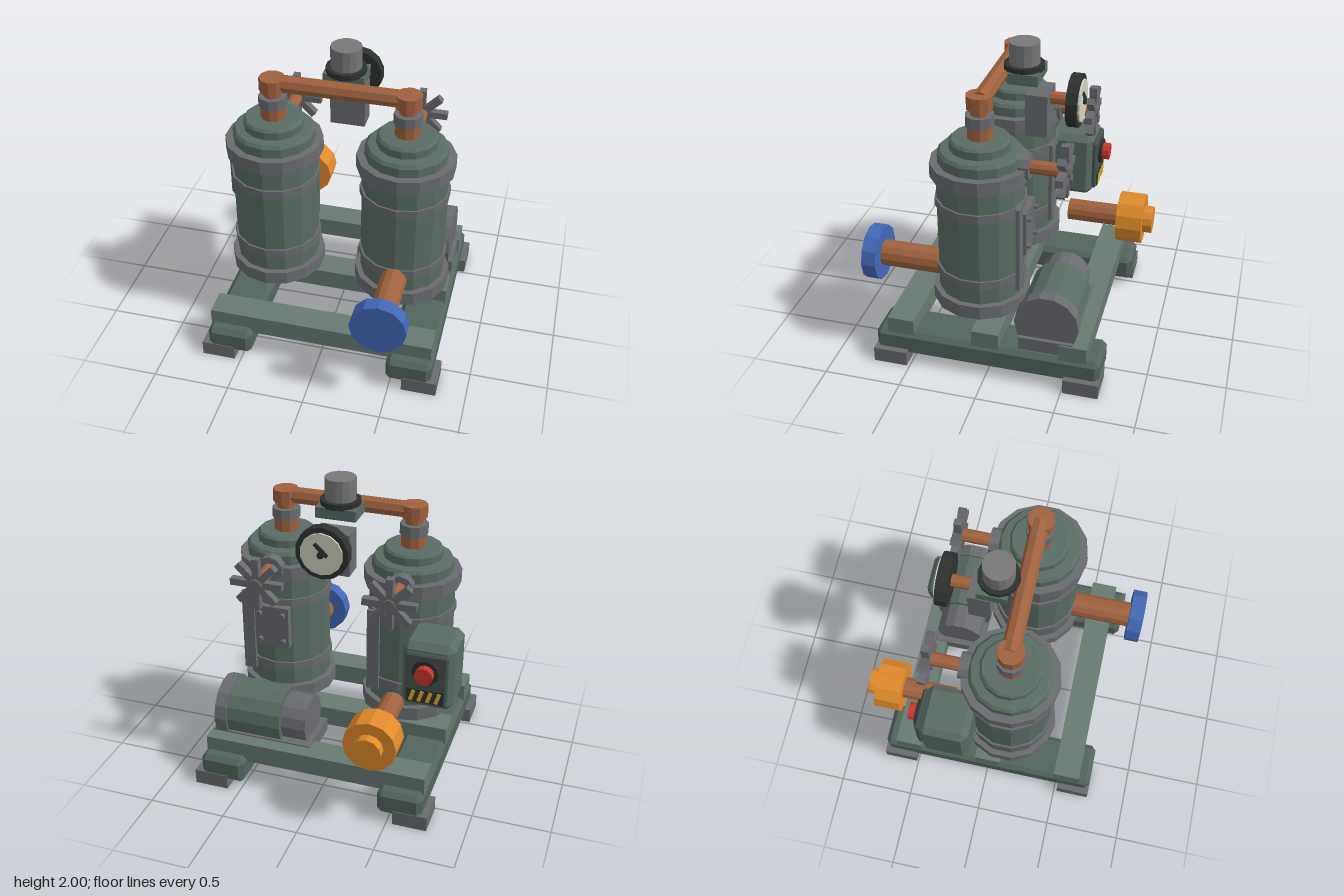
import * as THREE from 'three';
import { ConvexGeometry } from 'three/addons/geometries/ConvexGeometry.js';

const COLORS = {
  green: 0x5a6d65, frame: 0x53655e, beam: 0x677a72, grey: 0x6a6c70, steel: 0x787878,
  copper: 0xa0623f, blue: 0x4269b8, orange: 0xe08a2c, red: 0xcc3630,
  black: 0x2e3231, cream: 0xd2d1c2, yellow: 0xe0b428, panel: 0x46534e,
};
const materials = {};
for (const key in COLORS) {
  materials[key] = new THREE.MeshStandardMaterial({ color: COLORS[key], flatShading: true });
}

function add(parent, name, geometry, color, x = 0, y = 0, z = 0) {
  const mesh = new THREE.Mesh(geometry, materials[color]);
  mesh.name = name;
  mesh.position.set(x, y, z);
  parent.add(mesh);
  return mesh;
}

// Box given by its [min, max] range on each axis, optionally with chamfered edges
function box(parent, name, color, [x0, x1], [y0, y1], [z0, z1], chamfer = 0) {
  const half = [(x1 - x0) / 2, (y1 - y0) / 2, (z1 - z0) / 2];
  let geometry;
  if (chamfer > 0) {
    const points = [];
    for (const sx of [-1, 1]) for (const sy of [-1, 1]) for (const sz of [-1, 1]) {
      for (let face = 0; face < 3; face++) {
        const c = half.map((h, i) => (i === face ? h : h - chamfer));
        points.push(new THREE.Vector3(sx * c[0], sy * c[1], sz * c[2]));
      }
    }
    geometry = new ConvexGeometry(points);
  } else {
    geometry = new THREE.BoxGeometry(2 * half[0], 2 * half[1], 2 * half[2]);
  }
  return add(parent, name, geometry, color, (x0 + x1) / 2, (y0 + y1) / 2, (z0 + z1) / 2);
}

// Cylinder along an axis from a to b; u, v are the other two coordinates in x, y, z order
function rod(parent, name, color, axis, r, a, b, u, v, sides = 12) {
  const geometry = new THREE.CylinderGeometry(r, r, b - a, sides);
  const mid = (a + b) / 2;
  if (axis === 'x') {
    geometry.rotateZ(-Math.PI / 2);
    return add(parent, name, geometry, color, mid, u, v);
  }
  if (axis === 'z') {
    geometry.rotateX(Math.PI / 2);
    return add(parent, name, geometry, color, u, v, mid);
  }
  return add(parent, name, geometry, color, u, mid, v);
}

function group(parent, name, x = 0, y = 0, z = 0) {
  const g = new THREE.Group();
  g.name = name;
  g.position.set(x, y, z);
  parent.add(g);
  return g;
}

function buildFrame(root) {
  const frame = group(root, 'baseFrame');
  for (const [x0, x1, f0, f1] of [[-0.72, -0.43, -0.76, -0.54], [0.475, 0.77, 0.585, 0.81]]) {
    box(frame, 'sideRail', 'frame', [x0, x1], [0.055, 0.225], [-0.73, 0.735], 0.03);
    box(frame, 'frontFoot', 'grey', [f0, f1], [0, 0.1], [0.52, 0.74]);
    box(frame, 'backFoot', 'grey', [f0, f1], [0, 0.1], [-0.735, -0.51]);
  }
  for (const z of [0.567, 0.007, -0.557]) {
    box(frame, 'crossBeam', 'beam', [-0.715, 0.755], [0.185, 0.32], [z - 0.088, z + 0.088]);
  }
}

// Hand wheel made of eight radial bars around a hub
function buildValve(tank) {
  const valve = group(tank, 'valve', 0, 1.38, 0);
  rod(valve, 'valveBase', 'grey', 'z', 0.085, -0.315, -0.25, 0, 0, 10);
  rod(valve, 'valveStem', 'copper', 'z', 0.043, -0.55, -0.3, 0, 0, 10);
  rod(valve, 'wheelHub', 'grey', 'z', 0.04, -0.56, -0.49, 0, 0, 8);
  for (let i = 0; i < 4; i++) {
    const bar = box(valve, 'wheelSpoke', 'grey', [-0.17, 0.17], [-0.022, 0.022], [-0.547, -0.497]);
    bar.rotation.z = (i * Math.PI) / 4;
  }
}

function buildTank(root, name, x) {
  const tank = group(root, name, x, 0, 0.105);
  const ring = (part, color, r, y0, y1) => rod(tank, part, color, 'y', r, y0, y1, 0, 0, 14);
  ring('body', 'green', 0.275, 0.43, 1.38);
  ring('bottomFlange', 'grey', 0.312, 0.42, 0.51);
  ring('lowerBand', 'grey', 0.288, 0.625, 0.68);
  ring('upperBand', 'grey', 0.288, 1.1, 1.155);
  ring('topFlange', 'grey', 0.312, 1.3, 1.39);
  const profile = [[0.262, 1.39], [0.262, 1.45], [0.245, 1.47], [0.19, 1.475], [0.19, 1.525], [0.175, 1.54], [0, 1.54]];
  add(tank, 'lid', new THREE.LatheGeometry(profile.map((p) => new THREE.Vector2(...p)), 14), 'green');

  // Outlet riser on the lid
  rod(tank, 'riser', 'copper', 'y', 0.08, 1.53, 1.62, 0, 0, 10);
  rod(tank, 'collar', 'grey', 'y', 0.09, 1.62, 1.69, 0, 0, 10);
  rod(tank, 'riserNeck', 'copper', 'y', 0.057, 1.69, 1.74, 0, 0, 10);
  rod(tank, 'elbow', 'copper', 'y', 0.083, 1.73, 1.815, 0, 0, 10);

  box(tank, 'levelStrip', 'grey', [0.13, 0.21], [0.62, 1.19], [-0.3, -0.275]);
  buildValve(tank);
  return tank;
}

function buildMotor(root) {
  const motor = group(root, 'pumpMotor');
  rod(motor, 'motorBody', 'green', 'x', 0.19, 0.275, 0.64, 0.43, -0.38, 14);
  rod(motor, 'motorCap', 'grey', 'x', 0.205, 0.64, 0.72, 0.43, -0.38, 14);
  rod(motor, 'pumpHead', 'grey', 'x', 0.157, 0.11, 0.275, 0.43, -0.38, 14);
  box(motor, 'motorBase', 'grey', [0.07, 0.745], [0.24, 0.328], [-0.555, -0.21]);
}

function buildGauge(root) {
  const gauge = group(root, 'gauge');
  box(gauge, 'manifold', 'grey', [-0.09, 0.135], [1.42, 1.695], [-0.23, -0.09]);
  box(gauge, 'sensorMount', 'green', [-0.11, 0.15], [1.76, 1.83], [-0.17, 0.015]);
  rod(gauge, 'sensorRing', 'black', 'y', 0.128, 1.825, 1.862, 0.022, -0.058, 14);
  rod(gauge, 'sensor', 'steel', 'y', 0.098, 1.862, 2, 0.022, -0.058, 14);
  rod(gauge, 'gaugeStem', 'copper', 'z', 0.04, -0.36, -0.22, 0.02, 1.645, 10);
  rod(gauge, 'gaugeCase', 'black', 'z', 0.168, -0.42, -0.35, 0.02, 1.645, 14);
  rod(gauge, 'gaugeFace', 'cream', 'z', 0.135, -0.432, -0.41, 0.02, 1.645, 14);
  rod(gauge, 'needleHub', 'black', 'z', 0.022, -0.45, -0.43, 0.02, 1.645, 8);
  const needle = box(gauge, 'needle', 'black', [-0.035, 0.075], [1.663, 1.687], [-0.442, -0.43]);
  needle.rotation.z = 0.75;
}

function buildControlBox(root) {
  const control = group(root, 'controlBox');
  box(control, 'cabinet', 'green', [-0.81, -0.48], [0.68, 1.13], [-0.41, -0.09], 0.04);
  box(control, 'controlPanel', 'panel', [-0.78, -0.51], [0.73, 1.08], [-0.437, -0.4], 0.012);
  rod(control, 'buttonBase', 'black', 'z', 0.085, -0.458, -0.43, -0.645, 0.965, 12);
  rod(control, 'stopButton', 'red', 'z', 0.058, -0.505, -0.45, -0.645, 0.965, 12);
  box(control, 'warningPlate', 'black', [-0.76, -0.53], [0.745, 0.835], [-0.444, -0.43]);
  for (let i = 0; i < 4; i++) {
    const x = -0.726 + i * 0.054;
    const bar = box(control, 'warningBar', 'yellow', [x - 0.012, x + 0.012], [0.752, 0.828], [-0.449, -0.44]);
    bar.rotation.z = 0.3;
  }
}

export function createModel() {
  const root = new THREE.Group();
  root.name = 'twinTankFilterUnit';
  buildFrame(root);
  buildTank(root, 'rightTank', -0.405);
  const leftTank = buildTank(root, 'leftTank', 0.447);

  // Bolted inspection hatch on the back of the left tank
  const hatch = group(leftTank, 'inspectionHatch');
  box(hatch, 'hatchPlate', 'grey', [-0.115, 0.115], [0.82, 1.11], [-0.315, -0.26]);
  for (const x of [-0.08, 0.08]) for (const y of [0.87, 1.06]) {
    rod(hatch, 'hatchBolt', 'grey', 'z', 0.018, -0.34, -0.31, x, y, 6);
  }

  // Pipe joining the two tanks
  rod(root, 'crossPipe', 'copper', 'x', 0.056, -0.4, 0.45, 1.775, 0.1, 8);

  // Inlet and outlet with their coloured ends
  rod(root, 'inletPipe', 'copper', 'z', 0.085, 0.34, 0.78, 0.445, 0.605, 12);
  rod(root, 'inletCap', 'blue', 'z', 0.18, 0.77, 0.865, 0.445, 0.605, 12);
  rod(root, 'outletPipe', 'copper', 'z', 0.073, -0.64, -0.28, -0.403, 0.605, 12);
  rod(root, 'outletCap', 'orange', 'z', 0.17, -0.805, -0.63, -0.403, 0.605, 12);
  rod(root, 'outletNose', 'orange', 'z', 0.092, -0.865, -0.805, -0.403, 0.605, 12);

  buildMotor(root);
  buildGauge(root);
  buildControlBox(root);
  return root;
}
